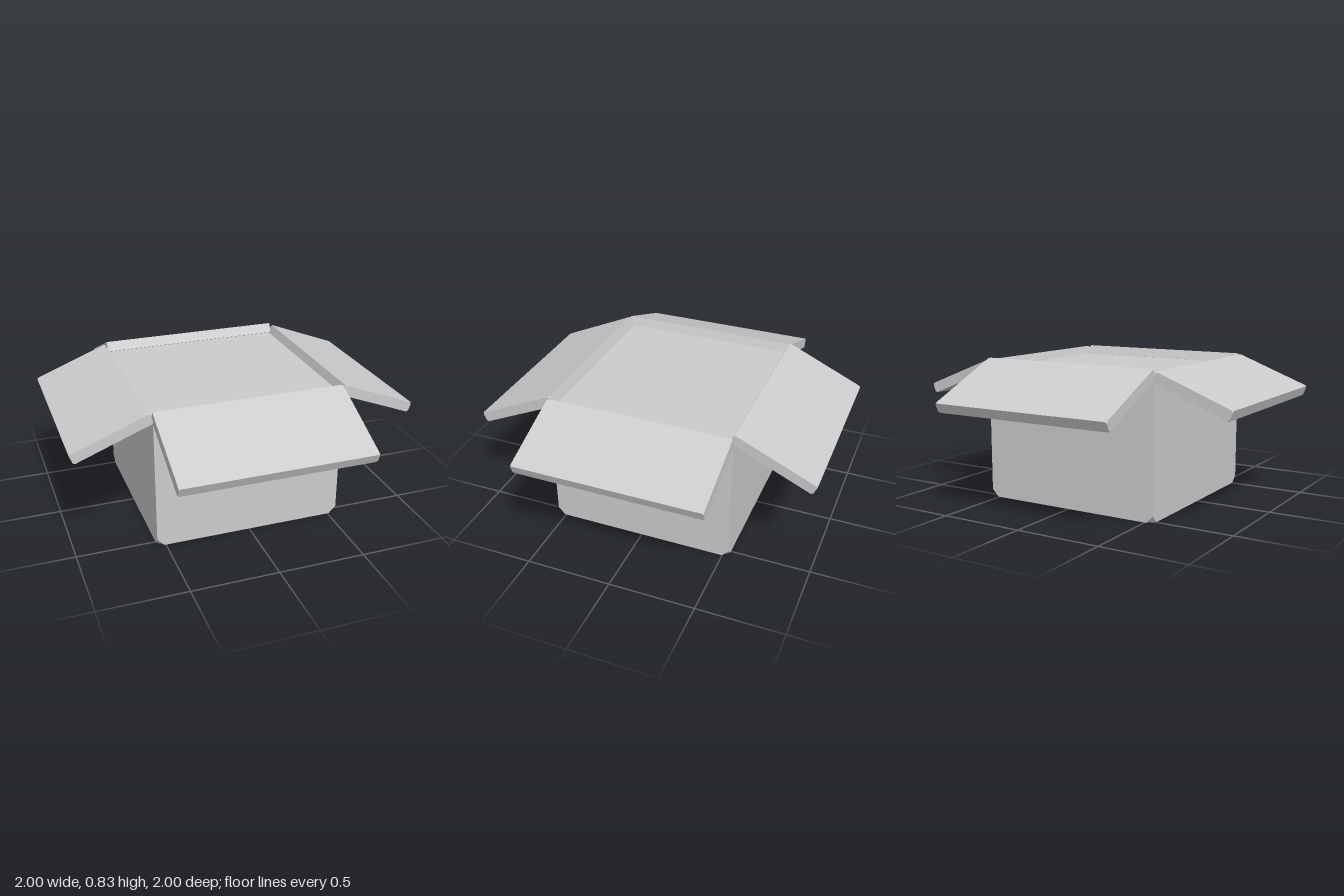
import * as THREE from 'three';
import { ConvexGeometry } from 'three/addons/geometries/ConvexGeometry.js';

const cardboard = new THREE.MeshStandardMaterial({ color: 0xcccccc });
cardboard.name = 'light grey cardboard';

// Box whose corners are cut off: bottom cut and top cut set separately
function cutCornerBox(w, h, d, cutBottom, cutTop) {
  const points = [];
  for (const x of [-1, 1]) for (const y of [-1, 1]) for (const z of [-1, 1]) {
    const c = y < 0 ? cutBottom : cutTop;
    const p = new THREE.Vector3(x * w / 2, y * h / 2, z * d / 2);
    if (c === 0) { points.push(p); continue; }
    points.push(
      p.clone().add(new THREE.Vector3(-x * c, 0, 0)),
      p.clone().add(new THREE.Vector3(0, -y * c, 0)),
      p.clone().add(new THREE.Vector3(0, 0, -z * c)));
  }
  return new ConvexGeometry(points);
}

const THICKNESS = 0.06;

// Flap hinged at its top inner edge, drooping outwards
function makeFlap({ name, width, length, droop, turn, hinge }) {
  const geometry = cutCornerBox(width, THICKNESS, length, 0.01, 0.01);
  geometry.translate(0, -THICKNESS / 2, length / 2);
  const flap = new THREE.Mesh(geometry, cardboard);
  flap.name = name;
  flap.rotation.set(droop, turn, 0, 'YXZ');
  flap.position.set(...hinge);
  return flap;
}

export function createModel() {
  const model = new THREE.Group();
  model.name = 'openCarton';

  // Filled carton body with clipped bottom corners
  const body = new THREE.Mesh(cutCornerBox(1.1, 0.77, 1.084, 0.042, 0), cardboard);
  body.name = 'cartonBody';
  body.position.set(0, 0.385, 0.005);
  model.add(body);

  // Four folded-out flaps
  const flaps = [
    { name: 'frontFlap', width: 1.1, length: 0.508, droop: 0.427, turn: 0, hinge: [0, 0.825, 0.537] },
    { name: 'backFlap', width: 1.1, length: 0.505, droop: 0.427, turn: Math.PI, hinge: [0, 0.834, -0.54] },
    { name: 'leftFlap', width: 1.085, length: 0.467, droop: 0.37, turn: Math.PI / 2, hinge: [0.565, 0.82, 0.003] },
    { name: 'rightFlap', width: 1.085, length: 0.467, droop: 0.37, turn: -Math.PI / 2, hinge: [-0.565, 0.82, 0.003] },
  ];
  for (const f of flaps) model.add(makeFlap(f));

  return model;
}
